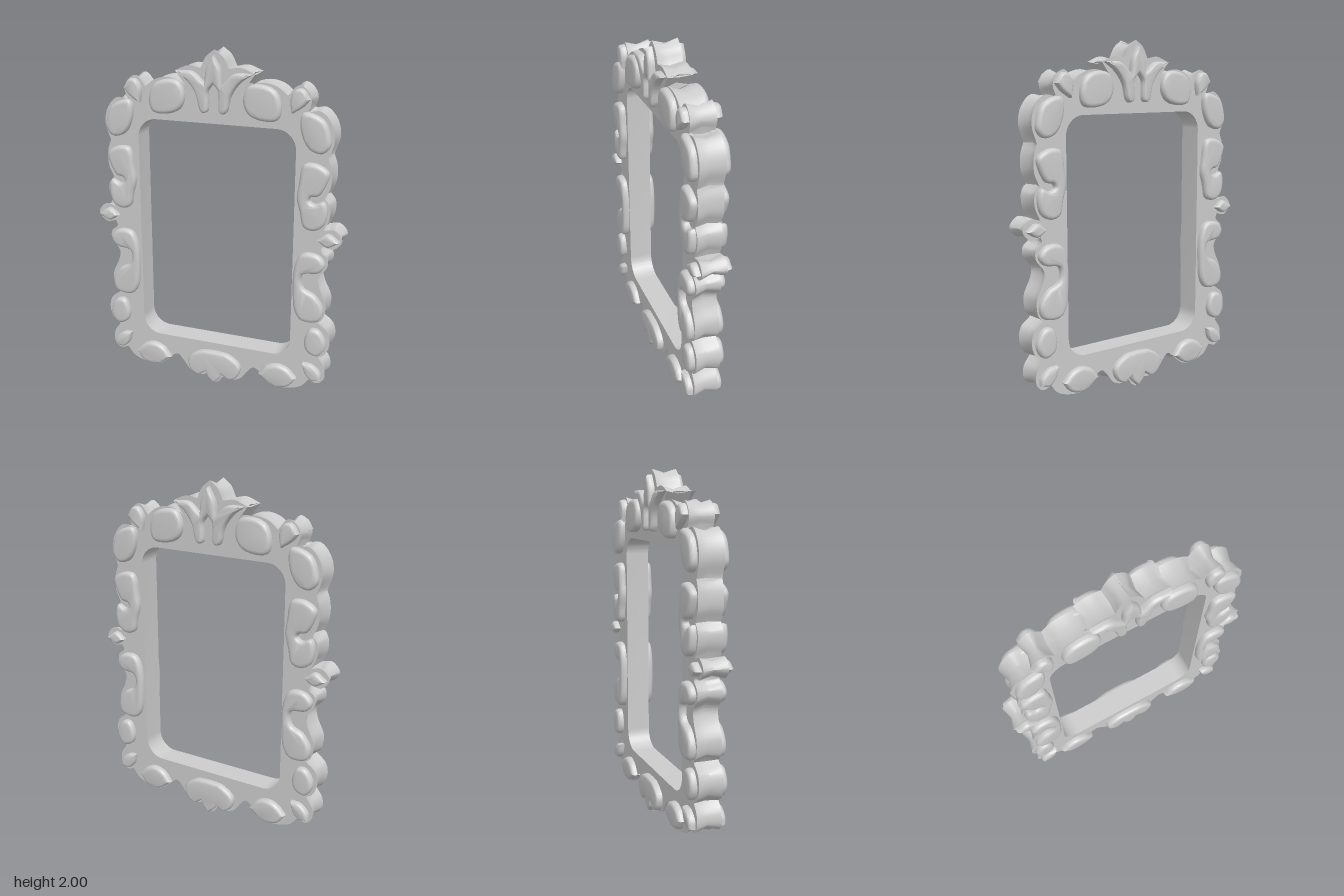
import * as THREE from 'three';
import { toCreasedNormals } from 'three/addons/utils/BufferGeometryUtils.js';

const U = 0.01; // all 2D coordinates are in hundredths
const FACE = 0.07; // half thickness of the frame

// Smooth curve through points; the closing end point is left out
function spline(pts, closed = false, div = 4) {
  const v = pts.map(([x, y]) => new THREE.Vector3(x * U, y * U, 0));
  const n = (closed ? pts.length : pts.length - 1) * div;
  return new THREE.CatmullRomCurve3(v, closed, 'centripetal').getPoints(n)
    .slice(0, -1).map((p) => new THREE.Vector2(p.x, p.y));
}
// Smooth lobes meeting in sharp corners
const lobed = (lobes) => lobes.flatMap((l) => spline(l));
// Completes a right half that runs from the top centre to the bottom centre
const mirrorLobes = (half) => [
  ...half,
  ...half.slice().reverse().map((l) => l.slice().reverse().map(([x, y]) => [-x, y])),
];
const flipX = (pts) => pts.map((p) => new THREE.Vector2(-p.x, p.y));

// Scalloped right half of the outer outline
const OUTLINE = [
  [[0, 200], [5, 196], [8, 190]],
  [[8, 190], [15, 191], [23, 188]],
  [[23, 188], [20, 184], [17, 180]],
  [[17, 180], [22, 183], [29, 184], [36, 182], [41, 178]],
  [[41, 178], [47, 184], [52, 181], [54, 176], [52, 170]],
  [[52, 170], [59, 171], [65, 165], [67, 156], [64, 146]],
  [[64, 146], [66, 140], [66, 131], [63, 124]],
  [[63, 124], [66, 120], [66, 113], [63, 106]],
  [[63, 106], [69, 107], [73.7, 101.5], [69, 96], [63, 97]],
  [[63, 97], [62, 94], [66, 90], [66, 85], [61, 78], [62, 72], [66, 63], [65, 54], [62, 51]],
  [[62, 51], [68, 46], [69.5, 39], [67, 32], [63, 29]],
  [[63, 29], [67, 23], [67, 16], [63, 12.5], [58, 14]],
  [[58, 14], [54, 9], [46, 6], [37, 6], [31, 10]],
  [[31, 10], [27, 14], [24, 15], [20, 11]],
  [[20, 11], [16, 6], [10, 4], [5, 5]],
  [[5, 5], [3, 2], [0, 0]],
];

// Rounded rectangular opening
function opening(x, y0, y1, r) {
  const p = new THREE.Path();
  p.absarc(x - r, y1 - r, r, 0, Math.PI / 2);
  p.absarc(-x + r, y1 - r, r, Math.PI / 2, Math.PI);
  p.absarc(-x + r, y0 + r, r, Math.PI, Math.PI * 1.5);
  p.absarc(x - r, y0 + r, r, Math.PI * 1.5, Math.PI * 2);
  p.closePath();
  return p;
}

// Frame body: outer wall pinched inward at half depth
function frameGeometry() {
  const outer = lobed(mirrorLobes(OUTLINE));
  const shape = new THREE.Shape(outer);
  shape.holes.push(opening(0.463, 0.267, 1.6, 0.11));
  const geo = new THREE.ExtrudeGeometry(shape, {
    depth: FACE * 2, steps: 2, bevelEnabled: false, curveSegments: 10,
  });
  geo.translate(0, 0, -FACE);
  const pos = geo.attributes.position;
  const n = outer.length;
  for (let i = 0; i < pos.count; i++) {
    if (Math.abs(pos.getZ(i)) > 0.001) continue;
    const x = pos.getX(i), y = pos.getY(i);
    const k = outer.findIndex((p) => Math.hypot(p.x - x, p.y - y) < 1e-4);
    if (k < 0) continue;
    const t = outer[(k + 1) % n].clone().sub(outer[(k + n - 1) % n]).normalize();
    pos.setXY(i, x + t.y * 0.02, y - t.x * 0.02);
  }
  return toCreasedNormals(geo, 0.6);
}

// Raised cushion with a rounded rim, centred on z = 0
function cushionGeometry(pts, rim = 0.022) {
  const depth = 0.03, thick = 0.021;
  const geo = new THREE.ExtrudeGeometry(new THREE.Shape(pts), {
    depth, bevelThickness: thick, bevelSize: rim, bevelOffset: -rim, bevelSegments: 4,
  });
  geo.translate(0, 0, -depth / 2);
  return toCreasedNormals(geo, 0.75);
}

// Ornaments of the right half, mirrored to the other side
const SIDE = {
  topCushion: spline([[17, 174], [20, 182], [28, 183], [35, 180], [38, 172], [36, 165], [28, 164], [20, 167]], true),
  topLeaf: lobed([
    [[44, 169], [43, 177], [46, 182], [50, 182], [53.5, 177]],
    [[53.5, 177], [50, 173], [44, 169]],
  ]),
  cornerCushion: spline([[65, 158], [61, 167], [50, 170], [49, 161], [54, 151], [61, 149], [65, 153]], true),
  upperScroll: spline([[50, 140], [52, 143], [59, 143], [65, 139], [64, 133], [60, 126], [56, 125], [55, 123],
    [58, 121], [63, 123], [65, 118], [63, 109], [57, 106], [52, 108], [50, 116], [48, 124], [49, 132]], true),
  sideLeaf: lobed([
    [[60, 101], [66, 105], [72.5, 101]],
    [[72.5, 101], [66, 97.5], [60, 101]],
  ]),
  lowerScroll: spline([[65, 87], [61, 92], [52, 92], [48, 84], [47.5, 68], [49, 57], [53, 52], [63, 53],
    [65, 60], [60, 68], [54, 71], [52, 75], [53, 80], [62, 82]], true),
  lowerCushion: spline([[55, 39], [58, 47], [63, 47], [67, 41], [67, 36], [63, 31], [57, 33]], true),
  bottomLeaf: lobed([
    [[54.5, 25], [60, 24.5], [65, 20], [65.5, 15.5]],
    [[65.5, 15.5], [60, 15], [56, 19], [54.5, 25]],
  ]),
  bottomCushion: lobed([
    [[28, 13], [33, 19], [40, 21], [46, 19], [51, 14]],
    [[51, 14], [46, 8], [37, 7], [28, 13]],
  ]),
};

// Ornaments on the centre line
const CENTRE = {
  crest: lobed(mirrorLobes([
    [[0, 197], [4, 190], [5, 182]],
    [[5, 182], [12, 188], [22, 188]],
    [[22, 188], [15, 183], [10, 176], [8, 168], [6, 166], [3.5, 167], [3, 172], [3, 178], [0, 182]],
  ])),
  bottomShell: lobed(mirrorLobes([
    [[0, 22], [9, 21], [16.5, 15], [15, 8], [10, 5], [5, 8]],
    [[5, 8], [4, 5], [0, 1]],
  ])),
};

export function createModel() {
  const model = new THREE.Group();
  model.name = 'ornateFrame';
  const material = new THREE.MeshStandardMaterial({ color: 0xcccccc });
  const add = (name, geo, z = 0) => {
    const mesh = new THREE.Mesh(geo, material);
    mesh.name = name;
    mesh.position.z = z;
    model.add(mesh);
  };

  add('frameBody', frameGeometry());

  // Same ornaments on the front and back faces
  const addBoth = (name, pts, rim) => {
    const geo = cushionGeometry(pts, rim);
    add(name + 'Front', geo, FACE + 0.001);
    add(name + 'Back', geo, -FACE - 0.001);
  };
  for (const [name, pts] of Object.entries(SIDE)) {
    const rim = name.endsWith('Leaf') ? 0.016 : 0.022;
    addBoth(name + 'Left', pts, rim);
    addBoth(name + 'Right', flipX(pts), rim);
  }
  for (const [name, pts] of Object.entries(CENTRE)) addBoth(name, pts, 0.015);
  return model;
}
